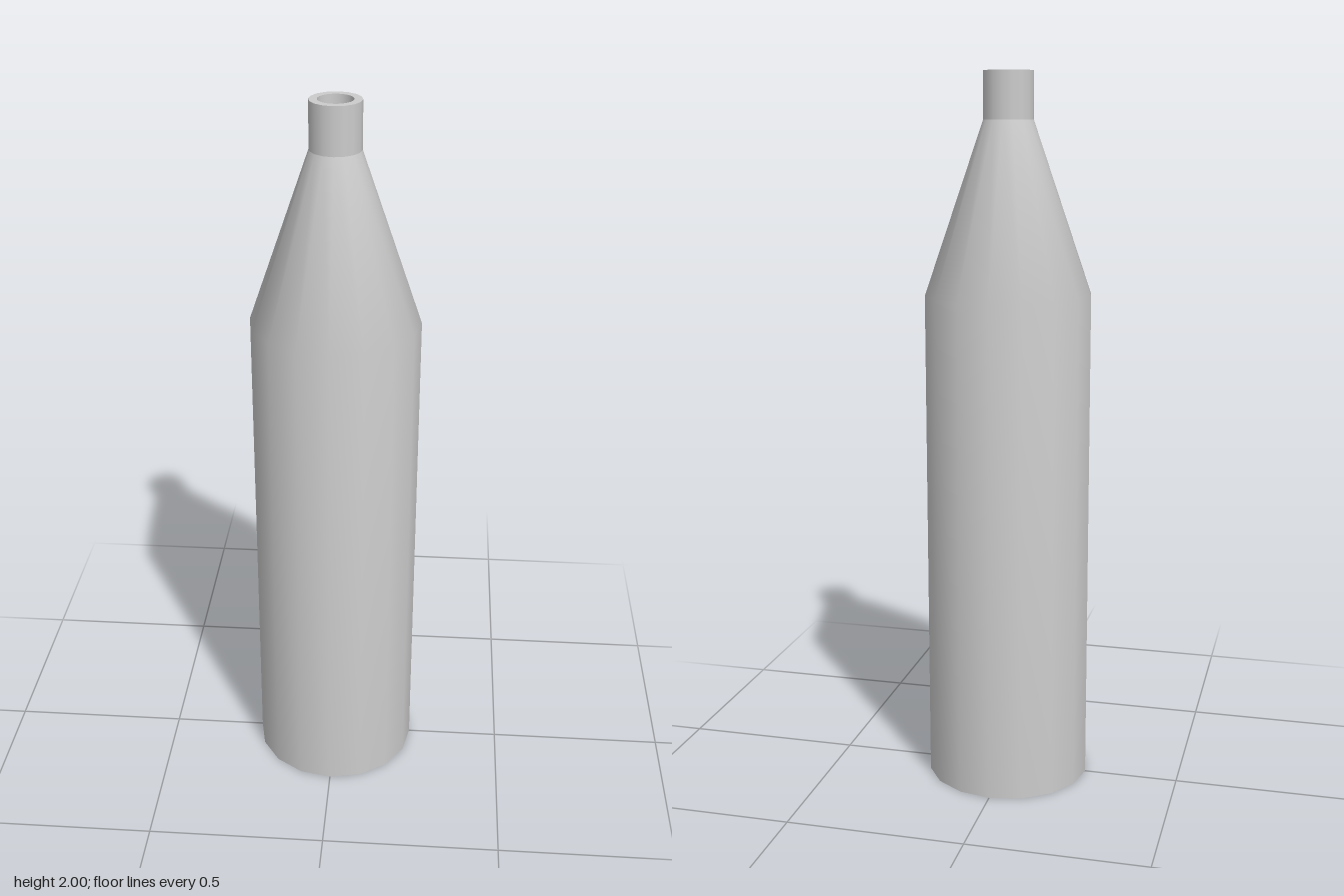
import * as THREE from 'three';

const BODY_R = 0.232, NECK_R = 0.069, BORE_R = 0.047;
const SHOULDER_Y = 1.4, NECK_Y = 1.872, TOP_Y = 2, BORE_Y = 1.872;
const SIDES = 16, BORE_SIDES = 32;

export function createModel() {
  const group = new THREE.Group();
  const grey = new THREE.MeshStandardMaterial({ color: 0xcccccc });
  grey.name = 'light grey';

  const add = (name, geometry) => {
    const mesh = new THREE.Mesh(geometry, grey);
    mesh.name = name;
    group.add(mesh);
    return mesh;
  };
  // Surface of revolution from [radius, height] pairs
  const lathe = (points, sides) =>
    new THREE.LatheGeometry(points.map(([r, y]) => new THREE.Vector2(r, y)), sides);
  // Corners of a regular polygon
  const ring = (radius, sides) => Array.from({ length: sides }, (_, i) => {
    const a = (i / sides) * Math.PI * 2;
    return new THREE.Vector2(Math.cos(a) * radius, Math.sin(a) * radius);
  });

  // Body and tapering shoulder, smooth across the bend
  add('body', lathe([[BODY_R, 0], [BODY_R, SHOULDER_Y], [NECK_R, NECK_Y]], SIDES));
  add('base', new THREE.CircleGeometry(BODY_R, SIDES).rotateX(Math.PI / 2));

  // Straight neck
  add('neck', lathe([[NECK_R, NECK_Y], [NECK_R, TOP_Y]], SIDES));

  // Flat rim around the opening
  const rim = new THREE.Shape(ring(NECK_R, SIDES));
  rim.holes.push(new THREE.Path(ring(BORE_R, BORE_SIDES).reverse()));
  add('rim', new THREE.ShapeGeometry(rim).rotateX(-Math.PI / 2)).position.y = TOP_Y;

  // Opening: inner wall faces inward, with a flat floor
  add('boreWall', lathe([[BORE_R, TOP_Y], [BORE_R, BORE_Y]], BORE_SIDES));
  add('boreFloor', new THREE.CircleGeometry(BORE_R, BORE_SIDES).rotateX(-Math.PI / 2)).position.y = BORE_Y;

  return group;
}
